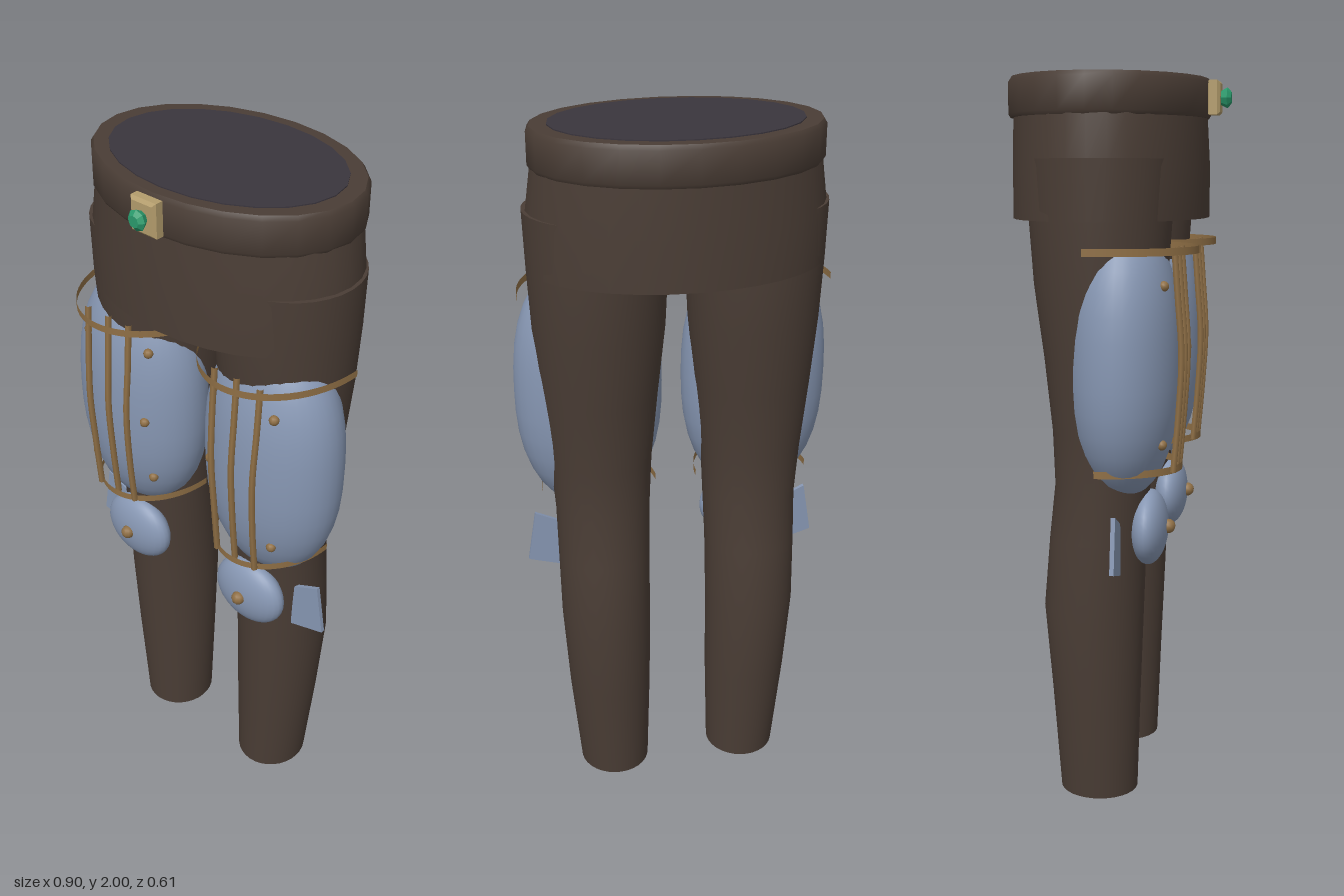
import * as THREE from 'three';
import { toCreasedNormals } from 'three/addons/utils/BufferGeometryUtils.js';

const mat = (color, extra = {}) => new THREE.MeshStandardMaterial({ color, ...extra });
const cloth = mat(0x4a3d35);
const lining = mat(0x3a353d);
const steel = mat(0x8797b3);
const brass = mat(0x8f6f45);
const brassBand = mat(0x8f6f45, { side: THREE.DoubleSide });
const gold = mat(0xb39c6c, { flatShading: true });
const jewel = mat(0x2a9a6c, { flatShading: true });

function add(parent, name, geometry, material, x = 0, y = 0, z = 0) {
  const mesh = new THREE.Mesh(geometry, material);
  mesh.name = name;
  mesh.position.set(x, y, z);
  parent.add(mesh);
  return mesh;
}

// Closed skin over elliptical rows [y, centreX, centreZ, radiusX, radiusZ], bottom to top
function loft(rows, sides = 32, crease = 0.7) {
  const pos = [], idx = [];
  const all = [[...rows[0].slice(0, 3), 0, 0], ...rows, [...rows.at(-1).slice(0, 3), 0, 0]];
  for (const [y, cx, cz, rx, rz] of all) {
    for (let j = 0; j <= sides; j++) {
      const a = (j / sides) * Math.PI * 2;
      pos.push(cx + rx * Math.sin(a), y, cz + rz * Math.cos(a));
    }
  }
  const n = sides + 1;
  for (let i = 0; i < all.length - 1; i++) {
    for (let j = 0; j < sides; j++) {
      const a = i * n + j, b = a + n;
      if (i > 0) idx.push(a, a + 1, b + 1);
      if (i < all.length - 2) idx.push(a, b + 1, b);
    }
  }
  const g = new THREE.BufferGeometry();
  g.setAttribute('position', new THREE.Float32BufferAttribute(pos, 3));
  g.setIndex(idx);
  return toCreasedNormals(g, crease);
}

// Thigh plate: a barrel-like ellipsoid
const plate = { x: 0.24, y: 1.25, z: 0.05, rx: 0.21, ry: 0.38, rz: 0.15 };
const plateScale = (y) =>
  Math.sqrt(Math.max(0, 1 - Math.pow(Math.abs((y - plate.y) / plate.ry), 2.5)));
const plateFront = (x, y) => {
  const k = plateScale(y), u = (x - plate.x) / plate.rx;
  return plate.z + plate.rz * Math.sqrt(Math.max(0, k * k - u * u));
};

// Thin half-ellipse strap, open at the back
function strap(rx, rz, height) {
  const g = new THREE.CylinderGeometry(1, 1, height, 32, 1, true, -Math.PI / 2, Math.PI);
  return g.scale(rx, 1, rz);
}

function makeLeg(s) {
  const leg = new THREE.Group();
  leg.name = s > 0 ? 'leftLeg' : 'rightLeg';

  // Trouser leg
  add(leg, 'trouserLeg', loft([
    [0, 0.203, -0.03, 0.104, 0.11],
    [0.3, 0.213, -0.035, 0.122, 0.125],
    [0.55, 0.22, -0.04, 0.131, 0.14],
    [0.75, 0.22, -0.028, 0.133, 0.135],
    [0.9, 0.218, -0.015, 0.136, 0.132],
    [1.05, 0.22, -0.014, 0.145, 0.138],
    [1.25, 0.22, -0.016, 0.164, 0.157],
    [1.45, 0.217, -0.02, 0.182, 0.18],
    [1.62, 0.217, -0.02, 0.19, 0.192],
    [1.78, 0.217, -0.02, 0.195, 0.194],
  ].map(([y, cx, ...r]) => [y, s * cx, ...r])), cloth);

  // Thigh plate
  const rows = [];
  for (let i = 0; i <= 18; i++) {
    const y = plate.y - plate.ry * Math.cos((i / 18) * Math.PI);
    const k = Math.max(plateScale(y), 0.001);
    rows.push([y, s * plate.x, plate.z, plate.rx * k, plate.rz * k]);
  }
  add(leg, 'thighPlate', loft(rows, 36, 1.2), steel);

  // Straps above and below the plate
  add(leg, 'upperStrap', strap(0.215, 0.275, 0.02), brassBand, s * 0.22, 1.545, -0.03);
  add(leg, 'lowerStrap', strap(0.165, 0.215, 0.02), brassBand, s * 0.225, 0.96, -0.01);

  // Bowed rods between the straps
  for (const [top, bottom] of [[0.302, 0.295], [0.226, 0.225], [0.152, 0.16]]) {
    const curve = new THREE.CatmullRomCurve3([
      new THREE.Vector3(s * bottom, 0.955, 0.19),
      new THREE.Vector3(s * bottom, 1.1, 0.202),
      new THREE.Vector3(s * (top + bottom) / 2, 1.27, 0.21),
      new THREE.Vector3(s * top, 1.42, 0.2),
      new THREE.Vector3(s * top, 1.55, 0.19),
    ]);
    add(leg, 'rod', new THREE.TubeGeometry(curve, 16, 0.009, 6), brass);
  }

  // Rivets on the plate
  for (const [x, y] of [[0.33, 1.455], [0.12, 1.455], [0.122, 1.24], [0.33, 1.035], [0.12, 1.035]]) {
    add(leg, 'rivet', new THREE.SphereGeometry(0.014, 10, 8), brass, s * x, y, plateFront(x, y));
  }

  // Knee cap with its rivet
  add(leg, 'kneeCap', new THREE.SphereGeometry(1, 28, 18).scale(0.118, 0.104, 0.052),
    steel, s * 0.22, 0.782, 0.115);
  add(leg, 'kneeRivet', new THREE.SphereGeometry(0.02, 10, 8), brass, s * 0.22, 0.785, 0.168);

  // Flat side fin beside the knee
  const fin = new THREE.Shape(
    [[0.41, 0.852], [0.32, 0.81], [0.325, 0.668], [0.435, 0.7]]
      .map(([x, y]) => new THREE.Vector2(s * x, y)));
  add(leg, 'kneeFin', new THREE.ExtrudeGeometry(fin, { depth: 0.012, bevelEnabled: false }),
    steel, 0, 0, 0.04);
  return leg;
}

export function createModel() {
  const model = new THREE.Group();
  model.name = 'armouredTrousers';

  // Hips
  add(model, 'hips', loft([
    [1.62, 0, -0.025, 0.405, 0.27],
    [1.76, 0, -0.025, 0.405, 0.27],
    [1.9, 0, -0.028, 0.385, 0.265],
  ], 32), cloth);

  // Belt and the dark closed waist
  add(model, 'belt', loft([
    [1.89, 0, -0.03, 0.386, 0.272],
    [1.9, 0, -0.03, 0.392, 0.278],
    [1.985, 0, -0.03, 0.392, 0.278],
    [1.997, 0, -0.03, 0.384, 0.27],
  ], 24), cloth);
  add(model, 'waistLining', loft([
    [1.97, 0, -0.028, 0.338, 0.237],
    [2, 0, -0.028, 0.338, 0.237],
  ], 24), lining);

  // Buckle with bevelled edges
  const face = new THREE.Shape(
    [[-0.033, -0.038], [0.033, -0.038], [0.033, 0.038], [-0.033, 0.038]]
      .map(([x, y]) => new THREE.Vector2(x, y)));
  add(model, 'buckle', new THREE.ExtrudeGeometry(face, {
    depth: 0.022, bevelThickness: 0.008, bevelSize: 0.008, bevelSegments: 1,
  }), gold, 0, 1.944, 0.247);

  // Faceted gem
  const gem = new THREE.LatheGeometry(
    [[0, -0.015], [0.018, -0.015], [0.028, 0.004], [0.016, 0.015], [0, 0.015]]
      .map(([r, y]) => new THREE.Vector2(r, y)), 8).rotateX(Math.PI / 2);
  add(model, 'gem', gem, jewel, 0, 1.944, 0.29);

  // Legs
  for (const s of [1, -1]) model.add(makeLeg(s));
  return model;
}
